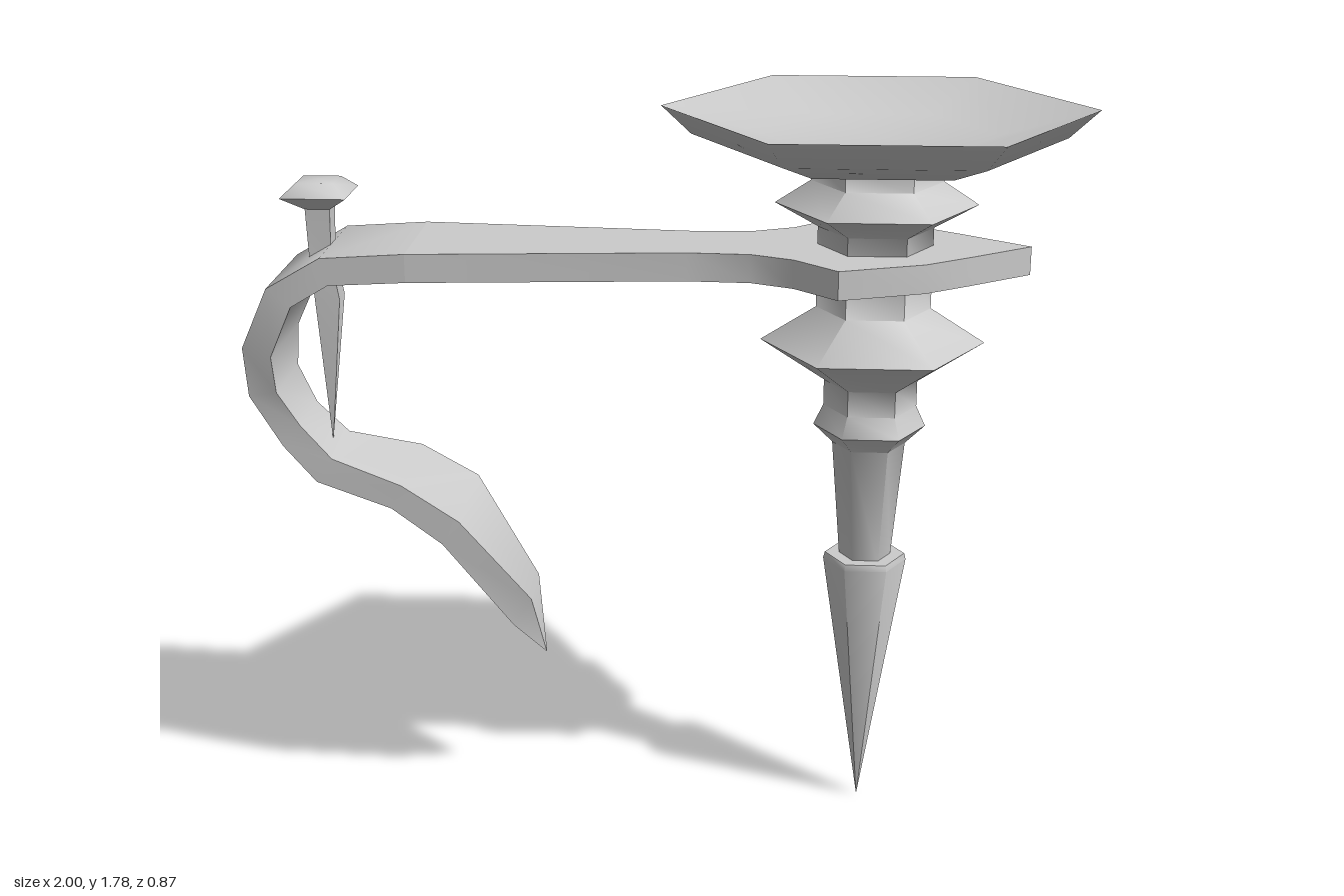
import * as THREE from 'three';
import { toCreasedNormals } from 'three/addons/utils/BufferGeometryUtils.js';

const material = new THREE.MeshStandardMaterial({ color: 0xcccccc, side: THREE.DoubleSide });
const AXIS = 0.49; // x of the upright shaft

function add(group, name, geometry, crease = 59.9) {
  const mesh = new THREE.Mesh(toCreasedNormals(geometry, THREE.MathUtils.degToRad(crease)), material);
  mesh.name = name;
  group.add(mesh);
  return mesh;
}

// Turned part with few sides; profile is [radius, y] from bottom to top
function turned(profile, sides, start) {
  const points = profile.map(([r, y]) => new THREE.Vector2(r, y));
  return new THREE.LatheGeometry(points, sides, start);
}

// Bar with four corners per section: [outerX, outerY, innerX, innerY, halfWidth]
function ribbon(sections) {
  const positions = [], index = [];
  sections.forEach(([ox, oy, ix, iy, w], i) => {
    positions.push(ox, oy, w, ox, oy, -w, ix, iy, -w, ix, iy, w);
    if (i === sections.length - 1) return;
    for (let j = 0; j < 4; j++) {
      const a = 4 * i + j, b = 4 * i + (j + 1) % 4;
      index.push(a, b, a + 4, b, b + 4, a + 4);
    }
  });
  const geometry = new THREE.BufferGeometry();
  geometry.setAttribute('position', new THREE.Float32BufferAttribute(positions, 3));
  geometry.setIndex(index);
  return geometry;
}

export function createModel() {
  const model = new THREE.Group();
  model.name = 'hookedStand';

  // Six-sided turned parts on the shaft, a corner pointing along x
  const hexParts = {
    spike: [[0, 0], [0.102, 0.66], [0.098, 0.675], [0, 0.675]],
    shaft: [
      [0.062, 0.66], [0.088, 0.965], [0.135, 1.01], [0.112, 1.06], [0.112, 1.123],
      [0.267, 1.222], [0.136, 1.305], [0.136, 1.5], [0.238, 1.556], [0.155, 1.61], [0.155, 1.66],
    ],
    dish: [
      [0, 1.65], [0.155, 1.65], [0.31, 1.67], [0.435, 1.715], [0.505, 1.78],
      [0.28, 1.72], [0, 1.71],
    ],
  };
  for (const [name, profile] of Object.entries(hexParts)) {
    add(model, name, turned(profile, 6, Math.PI / 2)).position.x = AXIS;
  }

  // Flat arm that flares into a pointed hub plate
  const side = [[-0.6, 0.163], [0.05, 0.108], [0.2, 0.115], [0.3, 0.16], [0.4, 0.258], [0.6, 0.185], [0.7, 0.115]];
  const outline = [
    ...side.map(([x, z]) => new THREE.Vector2(x, -z)),
    new THREE.Vector2(0.855, 0),
    ...side.map(([x, z]) => new THREE.Vector2(x, z)).reverse(),
  ];
  const plate = new THREE.ExtrudeGeometry(new THREE.Shape(outline), { depth: 0.068, bevelEnabled: false });
  plate.rotateX(-Math.PI / 2).translate(0, 1.39, 0);
  add(model, 'armPlate', plate, 35);

  // Hook curling down from the arm into a leaf-shaped blade
  add(model, 'hookBlade', ribbon([
    [-0.60, 1.458, -0.60, 1.39, 0.163],
    [-0.80, 1.445, -0.783, 1.38, 0.163],
    [-0.93, 1.37, -0.874, 1.326, 0.163],
    [-1.00, 1.22, -0.933, 1.198, 0.147],
    [-1.00, 1.09, -0.933, 1.10, 0.115],
    [-0.93, 0.957, -0.885, 1.01, 0.095],
    [-0.85, 0.87, -0.81, 0.93, 0.105],
    [-0.66, 0.823, -0.634, 0.882, 0.152],
    [-0.537, 0.738, -0.495, 0.797, 0.165],
    [-0.38, 0.49, -0.334, 0.561, 0.08],
    [-0.308, 0.384, -0.308, 0.386, 0.004],
  ]), 50);

  // Square pin through the arm: slightly bent thorn below, flared cap above
  const root2 = Math.SQRT2;
  const square = (profile) => turned(profile.map(([r, y]) => [r * root2, y]), 4, Math.PI / 4);
  const thorn = square([[0, 0.94], [0.03, 1.31], [0.026, 1.4], [0.03, 1.54]]);
  const p = thorn.attributes.position;
  for (let i = 0; i < p.count; i++) {
    if (Math.abs(p.getY(i) - 1.31) < 0.01) p.setX(i, p.getX(i) + 0.012);
  }
  const pin = new THREE.Group();
  pin.name = 'pin';
  pin.position.x = -0.828;
  add(pin, 'thorn', thorn);
  add(pin, 'pinCap', square([[0.03, 1.53], [0.078, 1.565], [0.045, 1.595], [0, 1.597]]));
  model.add(pin);

  return model;
}
